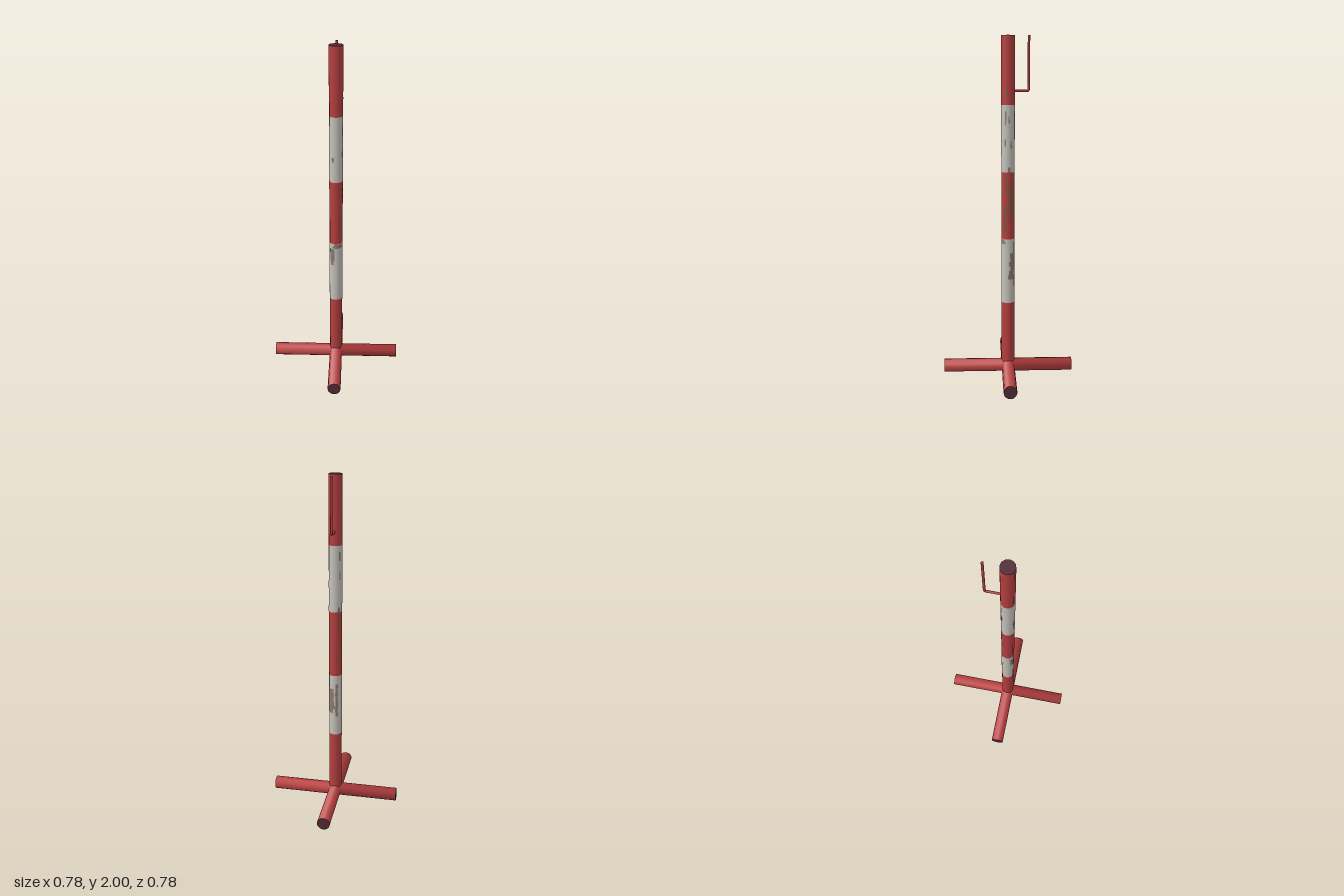
import * as THREE from 'three';

const R = 0.039;      // tube radius
const SIDES = 12;
const LEG = 0.388;    // leg reach from the axis

const material = (name, color, side = THREE.FrontSide) => {
  const m = new THREE.MeshStandardMaterial({ color, side });
  m.name = name;
  return m;
};

export function createModel() {
  const red = material('red paint', 0xb63f3f);
  const white = material('white paint', 0xc6c2bd);
  const dark = material('dark tube end', 0x522a36);
  const bare = material('bare weathered metal', 0x8a7a70, THREE.DoubleSide);
  const rust = material('rusty chips', 0x86503f, THREE.DoubleSide);

  const model = new THREE.Group();
  model.name = 'barrierPost';
  const add = (name, geometry, mat, parent = model) => {
    const mesh = new THREE.Mesh(geometry, mat);
    mesh.name = name;
    parent.add(mesh);
    return mesh;
  };

  // Striped pole
  const levels = [0.04, 0.445, 0.835, 1.23, 1.615, 2];
  for (let i = 0; i < 5; i++) {
    const h = levels[i + 1] - levels[i];
    const g = new THREE.CylinderGeometry(R, R, h, SIDES, 1, true);
    g.translate(0, levels[i] + h / 2, 0);
    add('poleBand' + (i + 1), g, i % 2 ? white : red);
  }
  const top = new THREE.CircleGeometry(R, SIDES);
  top.rotateX(-Math.PI / 2);
  top.translate(0, 2, 0);
  add('poleTop', top, dark);

  // Four crossed legs, their normals softened towards the free ends
  const legGeometry = new THREE.CylinderGeometry(R, R, LEG, SIDES, 1, true);
  const normals = legGeometry.attributes.normal;
  for (let i = 0; i < normals.count; i++) {
    const n = new THREE.Vector3().fromBufferAttribute(normals, i);
    n.y = 0.6;
    n.normalize();
    normals.setXYZ(i, n.x, n.y, n.z);
  }
  legGeometry.translate(0, LEG / 2, 0);
  legGeometry.rotateX(Math.PI / 2);
  const endGeometry = new THREE.CircleGeometry(R, SIDES);
  endGeometry.translate(0, 0, LEG);
  ['frontLeg', 'leftLeg', 'backLeg', 'rightLeg'].forEach((name, i) => {
    const leg = new THREE.Group();
    leg.name = name;
    leg.position.y = R;
    leg.rotation.y = i * Math.PI / 2;
    add(name + 'Tube', legGeometry, red, leg);
    add(name + 'End', endGeometry, dark, leg);
    model.add(leg);
  });

  // Bent wire hook behind the pole
  const path = new THREE.CurvePath();
  const v = (y, z) => new THREE.Vector3(0, y, z);
  path.add(new THREE.LineCurve3(v(1.693, -0.03), v(1.693, -0.108)));
  path.add(new THREE.QuadraticBezierCurve3(v(1.693, -0.108), v(1.693, -0.118), v(1.703, -0.118)));
  path.add(new THREE.LineCurve3(v(1.703, -0.118), v(2, -0.118)));
  add('hook', new THREE.TubeGeometry(path, 60, 0.007, 8, false), red);
  const tip = new THREE.CircleGeometry(0.007, 8);
  tip.rotateX(-Math.PI / 2);
  tip.translate(0, 2, -0.118);
  add('hookTip', tip, red);

  // Worn paint: thin curved strips with ragged edges
  let seed = 7;
  const random = () => (seed = (seed * 16807) % 2147483647) / 2147483647;
  const wear = (name, mat, from, to, y0, y1) => {
    const patch = new THREE.Group();
    patch.name = name;
    const rows = Math.max(2, Math.round((y1 - y0) / 0.025));
    const h = (y1 - y0) / rows;
    for (let i = 0; i < rows; i++) {
      const a = from + (to - from) * 0.25 * random();
      const b = to - (to - from) * 0.25 * random();
      const g = new THREE.CylinderGeometry(R * 1.006, R * 1.006, h, 6, 1, true,
        THREE.MathUtils.degToRad(a), THREE.MathUtils.degToRad(b - a));
      g.translate(0, y0 + (i + 0.5) * h, 0);
      add(name + 'Strip', g, mat, patch);
    }
    model.add(patch);
  };
  // Angles in degrees from the front towards +x, then heights
  [
    [90, 190, 0.59, 0.75], [185, 215, 0.57, 0.78], [-65, -5, 0.69, 0.8],
    [-45, 75, 0.805, 0.833], [-40, -15, 1.35, 1.38], [60, 75, 1.5, 1.58],
    [92, 105, 1.51, 1.55], [108, 122, 1.37, 1.41], [55, 72, 1.38, 1.42],
    [215, 235, 1.53, 1.58], [222, 236, 1.42, 1.47], [205, 235, 1.23, 1.26],
    [85, 110, 1.23, 1.26],
  ].forEach((p) => wear('bareSpot', bare, ...p));
  [
    [45, 85, 0.88, 1.04], [85, 105, 0.95, 1.17], [60, 80, 1.1, 1.22],
    [110, 150, 0.97, 1.18], [205, 225, 1.1, 1.22], [230, 250, 0.98, 1.08],
    [195, 210, 0.9, 0.98], [70, 90, 1.66, 1.72],
  ].forEach((p) => wear('rustSpot', rust, ...p));

  return model;
}
